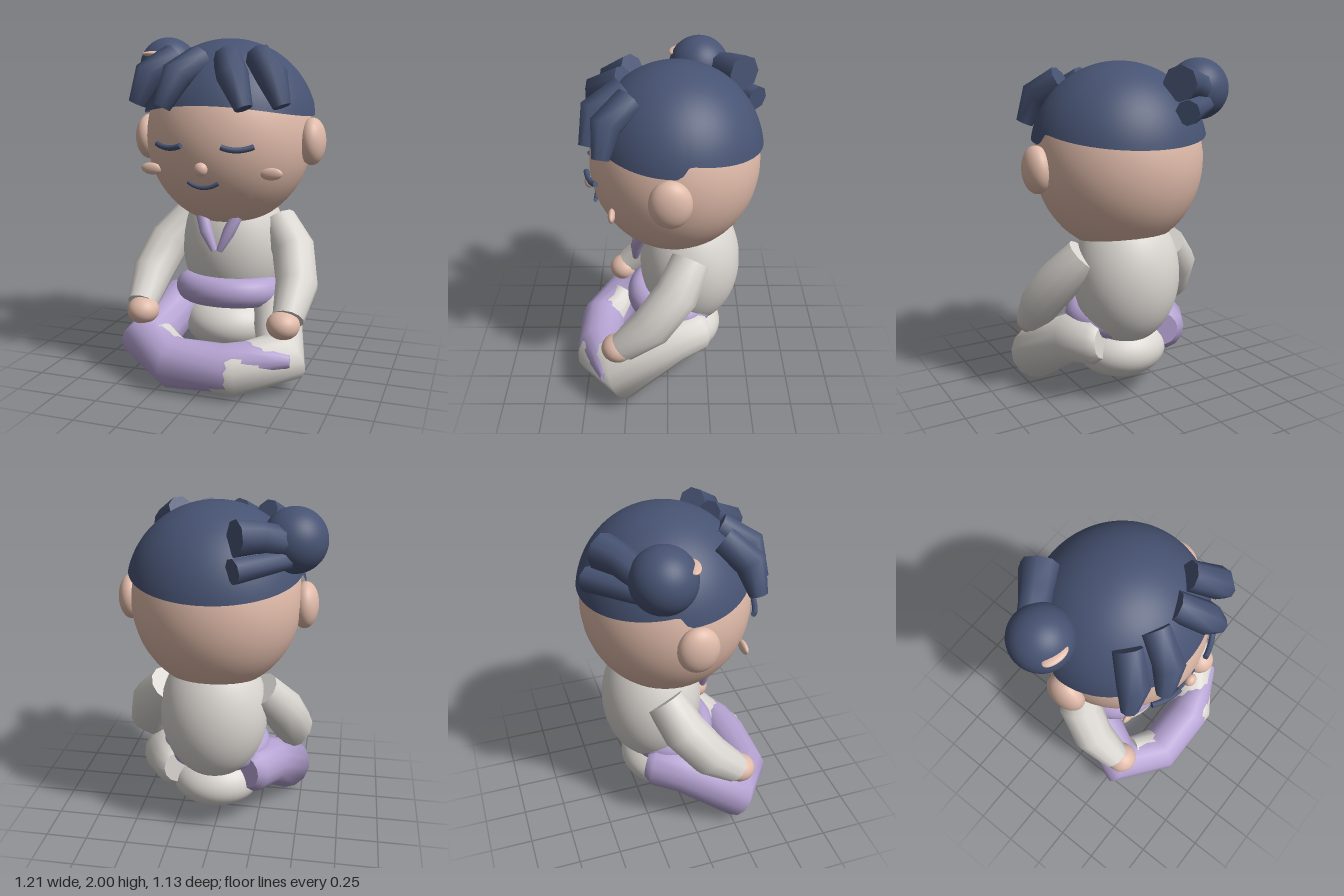
import * as THREE from 'three';

const mat = (name, color, side = THREE.FrontSide) =>
  Object.assign(new THREE.MeshStandardMaterial({ color, side }), { name });

// Tapered limb: rings swept along points, flat caps at both ends
function limbGeometry(points, radii, sides = 10) {
  const p = points.map((a) => (a.isVector3 ? a : new THREE.Vector3(...a)));
  const r = (i) => (Array.isArray(radii) ? radii[i] : radii);
  const pos = [], idx = [], last = p.length - 1;
  let n = null;
  const rings = p.map((c, i) => {
    const t = new THREE.Vector3();
    if (i > 0) t.add(c.clone().sub(p[i - 1]).normalize());
    if (i < last) t.add(p[i + 1].clone().sub(c).normalize());
    t.normalize();
    if (!n) n = Math.abs(t.x) < 0.8 ? new THREE.Vector3(1, 0, 0) : new THREE.Vector3(0, 1, 0);
    n = n.clone().addScaledVector(t, -n.dot(t)).normalize();
    const b = t.clone().cross(n);
    return Array.from({ length: sides }, (_, j) => {
      const a = (j / sides) * Math.PI * 2;
      return c.clone().addScaledVector(n, Math.cos(a) * r(i)).addScaledVector(b, Math.sin(a) * r(i));
    });
  });
  rings.forEach((ring) => ring.forEach((v) => pos.push(v.x, v.y, v.z)));
  for (let i = 0; i < last; i++) {
    for (let j = 0; j < sides; j++) {
      const k = (j + 1) % sides, a = i * sides, b = a + sides;
      idx.push(a + j, a + k, b + k, a + j, b + k, b + j);
    }
  }
  for (const [i, flip] of [[0, true], [last, false]]) {
    const base = pos.length / 3;
    [p[i], ...rings[i]].forEach((v) => pos.push(v.x, v.y, v.z));
    for (let j = 0; j < sides; j++) {
      const a = base + 1 + j, b = base + 1 + ((j + 1) % sides);
      idx.push(base, flip ? b : a, flip ? a : b);
    }
  }
  const g = new THREE.BufferGeometry();
  g.setAttribute('position', new THREE.Float32BufferAttribute(pos, 3));
  g.setIndex(idx);
  g.computeVertexNormals();
  return g;
}

// Hair cap: an ellipsoid top whose rim height changes around the head
function hairCapGeometry(cy, rx, ry, rz) {
  const g = new THREE.SphereGeometry(1, 96, 24, 0, Math.PI * 2, 0, Math.PI / 2);
  const a = g.attributes.position;
  const rim = (s) => {
    if (s > 0) return 1.55 + 0.07 * s * s;
    if (s > -0.04) return 1.55;
    if (s > -0.14) return 1.55 + 0.065 * ((-s - 0.04) / 0.1);
    return 1.615 - 0.065 * ((-s - 0.14) / 0.86);
  };
  for (let i = 0; i < a.count; i++) {
    const theta = Math.acos(THREE.MathUtils.clamp(a.getY(i), -1, 1));
    const phi = Math.atan2(a.getZ(i), a.getX(i));
    const t = (theta / (Math.PI / 2)) * Math.acos((rim(Math.sin(phi)) - cy) / ry);
    a.setXYZ(i, rx * Math.sin(t) * Math.cos(phi), ry * Math.cos(t), rz * Math.sin(t) * Math.sin(phi));
  }
  g.computeVertexNormals();
  return g;
}

export function createModel() {
  const skin = mat('skin', 0xdfbaa9);
  const hair = mat('hair navy', 0x475373, THREE.DoubleSide);
  const cloth = mat('robe off-white', 0xdad6d1);
  const purple = mat('sash purple', 0xb5a3d2);

  const model = new THREE.Group();
  model.name = 'sittingFigure';
  const body = new THREE.Group();
  body.name = 'figure';
  body.position.x = 0.018;
  model.add(body);

  const add = (name, geometry, material) => {
    const m = new THREE.Mesh(geometry, material);
    m.name = name;
    body.add(m);
    return m;
  };
  const ball = (name, material, c, r) => {
    const m = add(name, new THREE.SphereGeometry(1, 40, 28), material);
    m.position.set(...c);
    m.scale.set(...r);
    return m;
  };
  const limb = (name, material, points, radii, sides) =>
    add(name, limbGeometry(points, radii, sides), material);
  const flip = (points, s) => points.map(([x, y, z]) => [x * s, y, z]);
  const arc = (name, a, b, c, r) => {
    const v = [a, b, c].map((q) => new THREE.Vector3(...q));
    limb(name, hair, new THREE.QuadraticBezierCurve3(...v).getPoints(10), r, 8);
  };

  // Head and hair
  ball('head', skin, [0, 1.425, -0.04], [0.49, 0.53, 0.487]);
  add('hairCap', hairCapGeometry(1.475, 0.515, 0.512, 0.495), hair).position.set(0, 1.475, -0.048);
  ball('hairBun', hair, [-0.447, 1.822, -0.185], [0.178, 0.178, 0.178]);
  const pin = ball('bunPin', skin, [-0.495, 1.9, -0.047], [0.078, 0.016, 0.038]);
  pin.rotation.y = -0.2;
  limb('upperBunLock', hair, [[-0.42, 1.83, -0.27], [-0.28, 1.87, -0.35], [-0.158, 1.88, -0.43]], [0.08, 0.085, 0.1], 8);
  limb('lowerBunLock', hair, [[-0.44, 1.75, -0.28], [-0.158, 1.73, -0.51]], [0.055, 0.07], 8);

  // Torso, hips and sash
  ball('torso', cloth, [0, 0.75, -0.135], [0.32, 0.42, 0.302]);
  ball('hips', cloth, [0, 0.28, -0.06], [0.28, 0.18, 0.272]);
  const sash = add('sash', new THREE.TorusGeometry(0.24, 0.088, 20, 48).rotateX(Math.PI / 2).scale(1, 1, 0.85), purple);
  sash.position.set(0, 0.495, -0.03);
  sash.rotation.x = -0.08;

  // Mouth and nose
  ball('nose', skin, [0, 1.28, 0.452], [0.038, 0.038, 0.03]);
  arc('mouth', [-0.088, 1.203, 0.415], [0, 1.148, 0.425], [0.088, 1.203, 0.415], 0.012);

  for (const [side, s] of [['left', 1], ['right', -1]]) {
    // Face details
    ball(side + 'Ear', skin, [s * 0.507, 1.405, -0.015], [0.077, 0.136, 0.117]);
    ball(side + 'Cheek', skin, [s * 0.355, 1.252, 0.305], [0.063, 0.034, 0.02]).rotation.z = s * 0.06;
    arc(side + 'Eye', [s * 0.115, 1.406, 0.455], [s * 0.2, 1.372, 0.44], [s * 0.28, 1.406, 0.39], 0.016);

    // Fringe
    limb(side + 'OuterLock', hair, flip([[0.25, 1.88, 0.2], [0.355, 1.78, 0.32], [0.42, 1.62, 0.345]], s), [0.08, 0.088, 0.05], 8);
    limb(side + 'InnerLock', hair, flip([[0.08, 1.87, 0.24], [0.16, 1.78, 0.39], [0.235, 1.61, 0.43]], s), [0.08, 0.088, 0.05], 8);

    // Collar
    limb(side + 'Collar', purple, flip([[0.105, 0.97, 0.15], [0.068, 0.88, 0.185], [0.015, 0.77, 0.195]], s), [0.038, 0.038, 0.02], 8);

    // Arms and hands
    limb(side + 'Arm', cloth,
      flip([[0.275, 0.905, -0.13], [0.395, 0.755, -0.05], [0.455, 0.58, 0.09], [0.45, 0.425, 0.26]], s),
      [0.115, 0.13, 0.125, 0.092], 12);
    ball(side + 'Hand', skin, [s * 0.43, 0.398, 0.295], [0.095, 0.082, 0.095]);

    // Crossed legs: the right one wraps in front
    const thigh = [[0.2, 0.39, -0.215], [0.225, 0.385, -0.175], [0.31, 0.37, -0.02], [0.41, 0.195, 0.265]];
    const thighRadii = [0.1, 0.138, 0.148, 0.165];
    if (s > 0) {
      limb('leftLeg', cloth,
        [...thigh, [0.18, 0.147, 0.427], [-0.175, 0.152, 0.42], [-0.28, 0.22, 0.33], [-0.33, 0.27, 0.29]],
        [...thighRadii, 0.143, 0.136, 0.1, 0.08], 14);
    } else {
      limb('rightLeg', purple,
        [...flip(thigh, s), [-0.18, 0.147, 0.427], [0.14, 0.158, 0.43], [0.27, 0.215, 0.4], [0.4, 0.222, 0.375], [0.49, 0.22, 0.36]],
        [...thighRadii, 0.147, 0.139, 0.105, 0.07, 0.04], 14);
    }
  }

  return model;
}
